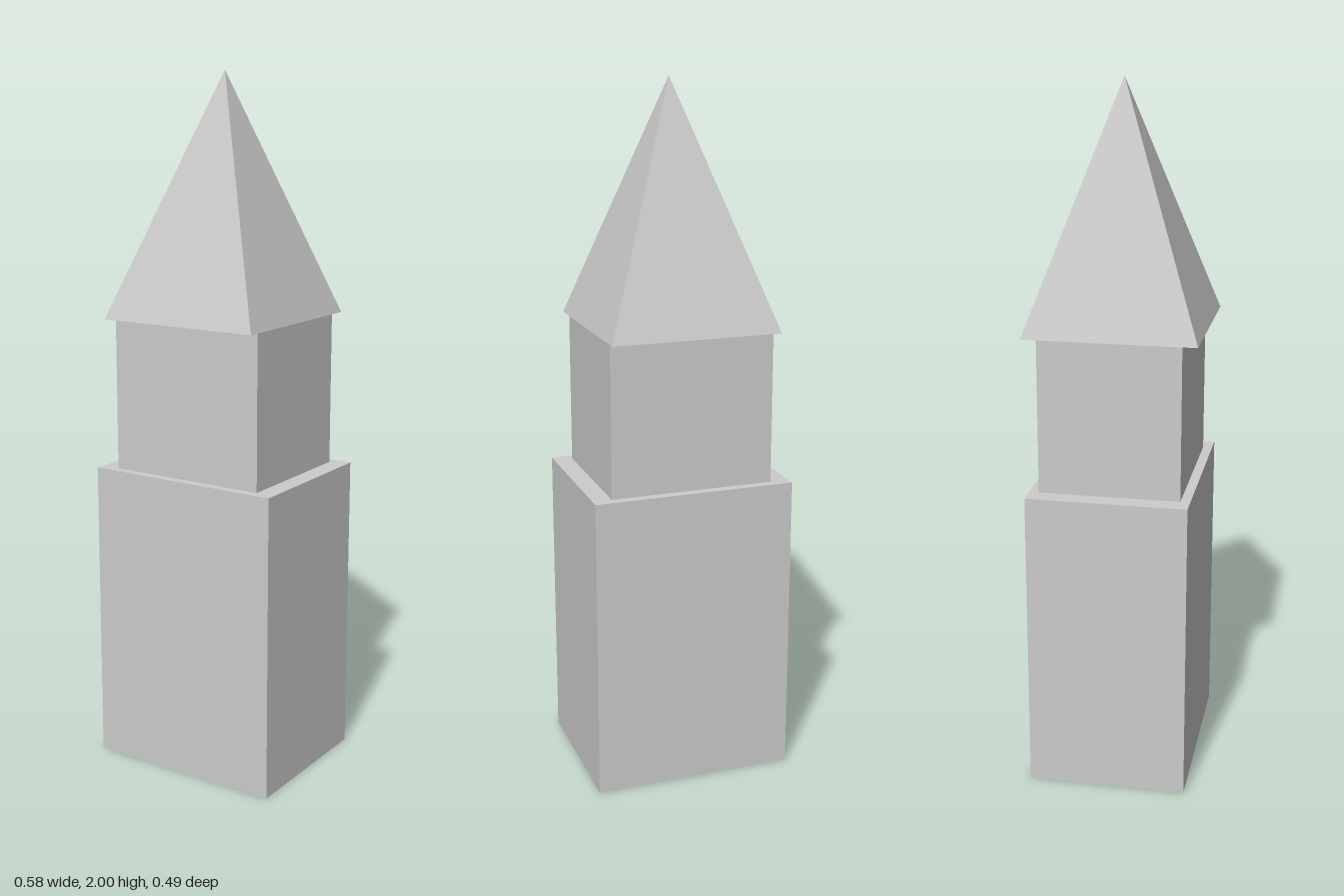
import * as THREE from 'three';

export function createModel() {
  const group = new THREE.Group();
  const material = new THREE.MeshStandardMaterial({ color: 0xcccccc, flatShading: true });

  // Places a part so that its underside sits at height y
  const add = (name, geometry, height, y) => {
    const mesh = new THREE.Mesh(geometry, material);
    mesh.name = name;
    mesh.position.y = y + height / 2;
    group.add(mesh);
  };

  const baseH = 0.88, upperH = 0.44, roofH = 0.68;

  // Two stacked blocks, the upper one set back
  add('towerBase', new THREE.BoxGeometry(0.583, baseH, 0.455), baseH, 0);
  add('upperStorey', new THREE.BoxGeometry(0.473, upperH, 0.4), upperH, baseH);

  // Square pyramid roof with its sides turned to face the axes
  const roof = new THREE.ConeGeometry(0.243 * Math.SQRT2, roofH, 4).rotateY(Math.PI / 4);
  add('spireRoof', roof, roofH, baseH + upperH);

  return group;
}
